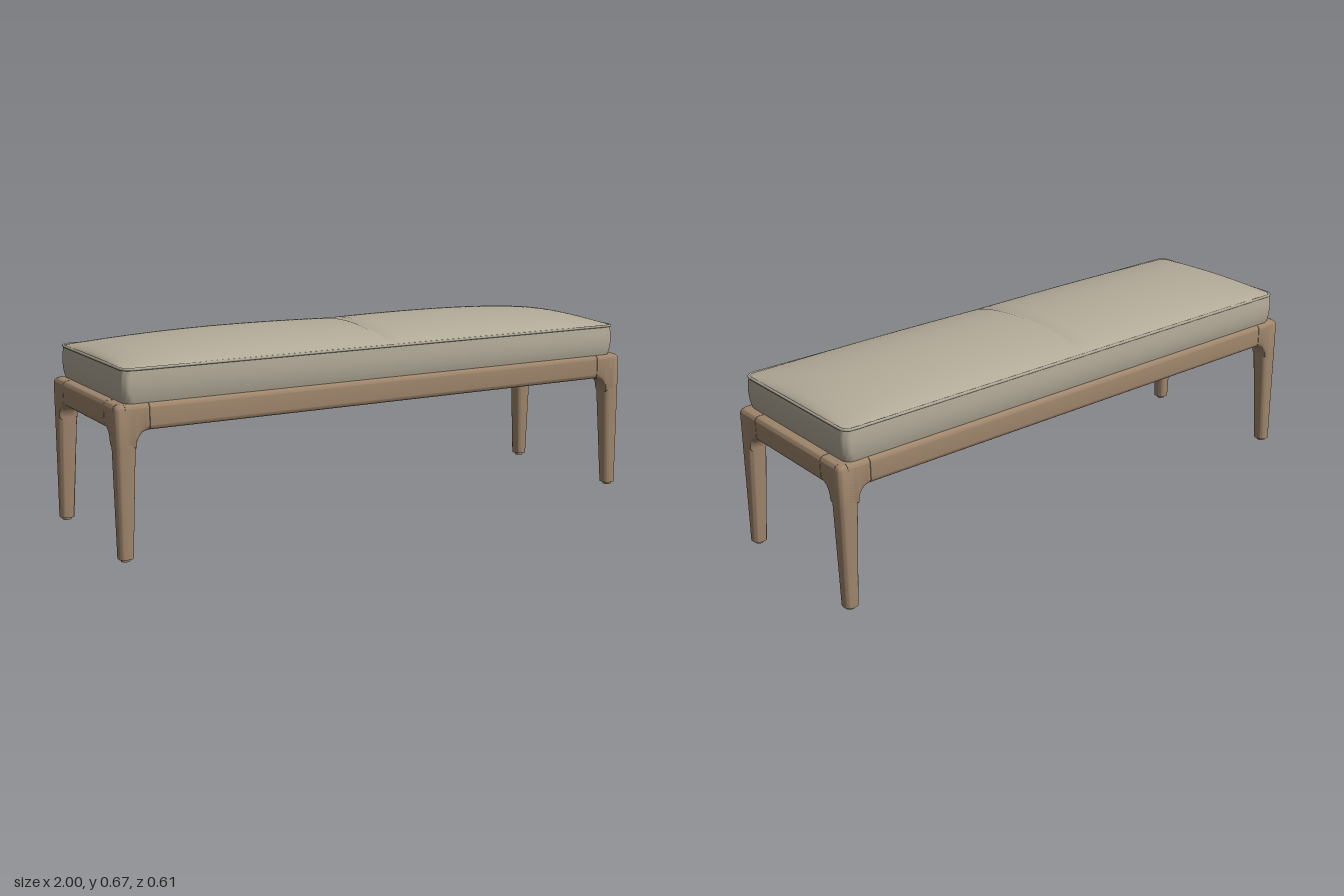
import * as THREE from 'three';
import { toCreasedNormals } from 'three/addons/utils/BufferGeometryUtils.js';

const X = 1, Z = 0.303;              // outer half sizes of the frame
const RAIL_LOW = 0.417, RAIL_TOP = 0.503, RAIL_THICK = 0.062;
const BEND = 0.064, JOINT = 0.11;    // distances from corner to the bend and to the rail joint
const BEND_LOW = 0.36;               // height where the leg starts to flare into the rails

// Rounded rectangle outline as [u, v] pairs
function outline(u0, u1, v0, v1, r, n = 6) {
  const pts = [];
  const centres = [[u1 - r, v1 - r], [u0 + r, v1 - r], [u0 + r, v0 + r], [u1 - r, v0 + r]];
  centres.forEach(([cu, cv], q) => {
    for (let i = 0; i <= n; i++) {
      const a = (q + i / n) * Math.PI / 2;
      pts.push([cu + r * Math.cos(a), cv + r * Math.sin(a)]);
    }
  });
  return pts;
}

// Closed skin through rings {t, pts}; map(u, v, t) gives the position in space
function loft(rings, map, crease = 0.6) {
  const n = rings[0].pts.length, pos = [], idx = [];
  for (const { t, pts } of rings) for (const [u, v] of pts) pos.push(...map(u, v, t));
  for (let k = 0; k < rings.length - 1; k++) {
    for (let i = 0; i < n; i++) {
      const a = k * n + i, b = k * n + (i + 1) % n;
      idx.push(a, b, a + n, b, b + n, a + n);
    }
  }
  for (const k of [0, rings.length - 1]) {
    const c = pos.length / 3, { t, pts } = rings[k];
    const mean = j => pts.reduce((s, p) => s + p[j], 0) / n;
    pos.push(...map(mean(0), mean(1), t));
    for (let i = 0; i < n; i++) {
      const a = k * n + i, b = k * n + (i + 1) % n;
      idx.push(...(k ? [c, a, b] : [c, b, a]));
    }
  }
  // Turn the faces outward if the mapping mirrored them
  const p = i => new THREE.Vector3().fromArray(pos, idx[i] * 3);
  let volume = 0;
  for (let i = 0; i < idx.length; i += 3) volume += p(i).dot(p(i + 1).cross(p(i + 2)));
  if (volume < 0) idx.reverse();
  const g = new THREE.BufferGeometry();
  g.setAttribute('position', new THREE.Float32BufferAttribute(pos, 3));
  g.setIndex(idx);
  return toCreasedNormals(g, crease);
}

export function createModel() {
  const model = new THREE.Group();
  model.name = 'bench';
  const wood = new THREE.MeshStandardMaterial({ color: 0x9f866c });
  wood.name = 'wood';
  const fabric = new THREE.MeshStandardMaterial({ color: 0xb2aa98 });
  fabric.name = 'fabric';
  const add = (parent, name, geometry, material) => {
    const mesh = new THREE.Mesh(geometry, material);
    mesh.name = name;
    parent.add(mesh);
    return mesh;
  };

  // Leg column: w is the width measured inward from the outer corner
  const columnRings = [
    [0.009, 0.048, 0], [BEND_LOW, 0.065, 0], [0.486, 0.066, 0],
    [0.494, 0.066, 0.003], [0.5, 0.066, 0.008], [RAIL_TOP, 0.066, 0.016],
  ].map(([t, w, inset]) => ({ t, pts: outline(inset, w, inset, w, 0.018) }));

  // Arm of the leg, sweeping from the column into the rail
  const flare = d => {
    const k = THREE.MathUtils.clamp((JOINT - d) / (JOINT - BEND), 0, 1);
    return BEND_LOW + (RAIL_LOW - BEND_LOW) * Math.sqrt(1 - k * k);
  };
  const armRing = (d, inset = 0) => ({
    t: d, pts: outline(inset, RAIL_THICK - inset, flare(d) + inset, RAIL_TOP - inset, 0.016),
  });
  const bendSteps = Array.from({ length: 11 },
    (_, i) => BEND + (JOINT - 0.001 - BEND) * (1 - Math.cos(i / 10 * Math.PI / 2)));
  const armRings = [armRing(0.03), ...bendSteps.map(d => armRing(d)), armRing(JOINT, 0.001)];

  // Hollow rounded inner corner, growing with the flare of the arms
  const gussetRing = (t, f) => {
    const a = 0.05, pts = [[a, a]];
    for (let i = 0; i <= 8; i++) {
      const q = -Math.PI / 2 * (1 + i / 8);
      pts.push([a + f * (1 + Math.cos(q)), a + f * (1 + Math.sin(q))]);
    }
    return { t, pts };
  };
  const gussetRings = [...bendSteps.map(d => gussetRing(flare(d) + 0.003, 0.012 + (d - BEND) * 0.75)),
    gussetRing(0.499, 0.047)];

  for (const sx of [1, -1]) {
    for (const sz of [1, -1]) {
      const leg = new THREE.Group();
      leg.name = (sz > 0 ? 'front' : 'back') + (sx > 0 ? 'Left' : 'Right') + 'Leg';
      model.add(leg);
      const upright = (u, v, t) => [sx * (X - u), t, sz * (Z - v)];
      add(leg, 'legColumn', loft(columnRings, upright), wood);
      add(leg, 'cornerGusset', loft(gussetRings, upright), wood);
      add(leg, 'longArm', loft(armRings, (u, v, t) => [sx * (X - t), v, sz * (Z - u)]), wood);
      add(leg, 'shortArm', loft(armRings, (u, v, t) => [sx * (X - u), v, sz * (Z - t)]), wood);
      const foot = add(leg, 'footGlide', new THREE.CylinderGeometry(0.017, 0.015, 0.012, 24), wood);
      foot.position.set(sx * (X - 0.024), 0.006, sz * (Z - 0.024));
    }
  }

  // Rails between the leg joints
  const railRings = half => [[-half, 0.001], [-half + 0.001, 0], [half - 0.001, 0], [half, 0.001]]
    .map(([t, i]) => ({ t, pts: outline(i, RAIL_THICK - i, RAIL_LOW + i, RAIL_TOP - i, 0.016) }));
  for (const s of [1, -1]) {
    add(model, s > 0 ? 'frontRail' : 'backRail',
      loft(railRings(X - JOINT), (u, v, t) => [t, v, s * (Z - u)]), wood);
    add(model, s > 0 ? 'leftRail' : 'rightRail',
      loft(railRings(Z - JOINT), (u, v, t) => [s * (X - u), v, t]), wood);
  }

  // Cushion body with gently bulging sides
  const cushion = new THREE.Group();
  cushion.name = 'cushion';
  model.add(cushion);
  const CX = 0.972, CZ = 0.296, R = 0.03;
  const bodyRings = [[0.5, 0.008], [0.515, 0.004], [0.535, 0.001], [0.56, 0], [0.585, 0.001], [0.61, 0.004]]
    .map(([t, i]) => ({ t, pts: outline(-CX + i, CX - i, -CZ + i, CZ - i, R) }));
  add(cushion, 'cushionBody', loft(bodyRings, (u, v, t) => [u, t, v]), fabric);

  // Crowned top: two soft humps meeting at a middle seam, finer toward the rim
  const hx = CX - 0.004, hz = CZ - 0.004;
  const crown = new THREE.PlaneGeometry(2, 2, 120, 48).rotateX(-Math.PI / 2);
  const p = crown.attributes.position;
  const crowd = s => Math.sign(s) * (1 - Math.pow(Math.max(0, 1 - Math.abs(s)), 1.5));
  for (let i = 0; i < p.count; i++) {
    const u = crowd(p.getX(i)), v = crowd(p.getZ(i));
    let x = u * hx, z = v * hz;
    const ax = Math.abs(x), dx = ax - (hx - R), dz = Math.abs(z) - (hz - R);
    const end = THREE.MathUtils.clamp((ax - 0.37) / (hx - 0.37), 0, 1);
    const dip = Math.max(0, 1 - ax / 0.37);
    const across = Math.pow(Math.max(0, 1 - v * v), 0.68);
    const along = Math.pow(1 - end * end, 0.45);
    const seam = 0.006 * Math.max(0, 1 - ax / 0.02) * Math.min(1, across * 2);
    const y = 0.611 + across * (0.061 * along - 0.007 * dip * dip) - seam;
    // Pull the square corners onto the rounded outline
    if (dx > 0 && dz > 0) {
      const k = Math.max(dx, dz) / Math.hypot(dx, dz);
      x = Math.sign(x) * (hx - R + dx * k);
      z = Math.sign(z) * (hz - R + dz * k);
    }
    p.setXYZ(i, x, y, z);
  }
  add(cushion, 'cushionTop', toCreasedNormals(crown, 0.42), fabric);

  // Piping around the top edge
  const loop = outline(-hx, hx, -hz, hz, R).map(([u, v]) => new THREE.Vector3(u, 0.611, v));
  const path = new THREE.CurvePath();
  loop.forEach((q, i) => path.add(new THREE.LineCurve3(q, loop[(i + 1) % loop.length])));
  add(cushion, 'piping', new THREE.TubeGeometry(path, 400, 0.005, 8, true), fabric);

  return model;
}
